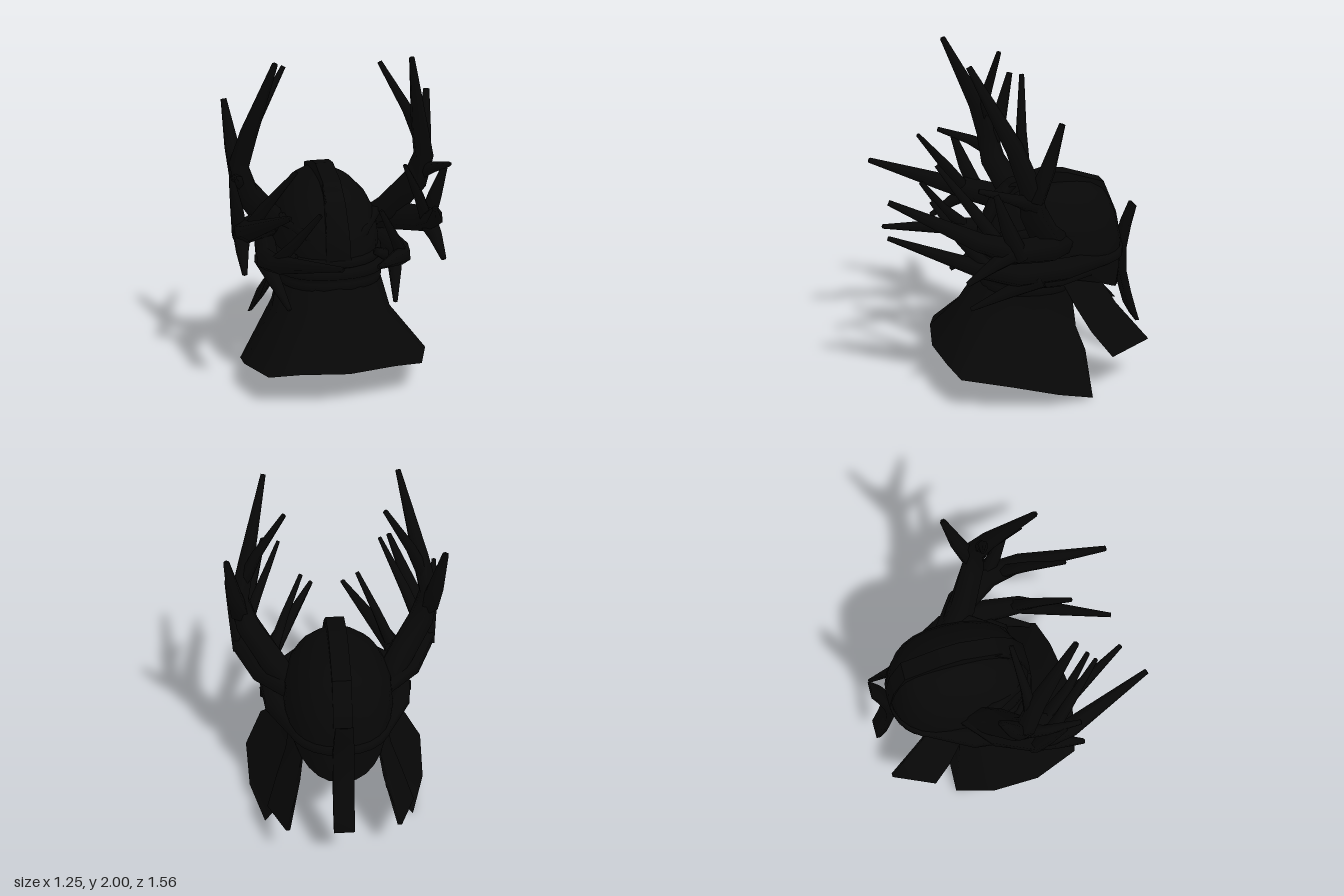
import * as THREE from 'three';

const black = new THREE.MeshStandardMaterial({ color: 0x070707, side: THREE.DoubleSide });
black.name = 'matteBlack';
const V = (x, y, z) => new THREE.Vector3(x, y, z);

// Skin a list of cross-sections, optionally closed around and capped at the ends
function loft(name, rings, closed = true, caps = true) {
  const n = rings[0].length, pos = [], idx = [];
  rings.forEach(r => r.forEach(p => pos.push(p.x, p.y, p.z)));
  for (let i = 0; i < rings.length - 1; i++) {
    for (let j = 0; j < (closed ? n : n - 1); j++) {
      const k = (j + 1) % n, a = i * n + j, b = i * n + k;
      idx.push(a, b, a + n, b, b + n, a + n);
    }
  }
  if (caps) {
    const top = (rings.length - 1) * n;
    for (let j = 1; j < n - 1; j++) idx.push(0, j + 1, j, top, top + j, top + j + 1);
  }
  const g = new THREE.BufferGeometry();
  g.setAttribute('position', new THREE.Float32BufferAttribute(pos, 3));
  g.setIndex(idx);
  g.computeVertexNormals();
  const mesh = new THREE.Mesh(g, black);
  mesh.name = name;
  return mesh;
}

// Tapered branch: each point is [x, y, z, radius]
function branch(name, s, pts) {
  const p = pts.map(q => V(q[0] * s, q[1], q[2]));
  const d = p[p.length - 1].clone().sub(p[0]);
  const m = [Math.abs(d.x), Math.abs(d.y), Math.abs(d.z)];
  const ref = V(0, 0, 0).setComponent(m.indexOf(Math.min(...m)), 1);
  const rings = p.map((c, i) => {
    const t = p[Math.min(i + 1, p.length - 1)].clone().sub(p[Math.max(i - 1, 0)]).normalize();
    const u = t.clone().cross(ref).normalize(), v = t.clone().cross(u);
    return Array.from({ length: 6 }, (_, j) => {
      const a = j * Math.PI / 3, r = pts[i][3];
      return c.clone().addScaledVector(u, r * Math.cos(a)).addScaledVector(v, r * Math.sin(a));
    });
  });
  return loft(name, rings);
}

// Rounded horizontal ring: height, front z, back z, half width, drop at the very back
function oval([y, zf, zb, w, drop = 0], n = 28) {
  const sq = v => Math.sign(v) * Math.abs(v) ** 0.85;
  return Array.from({ length: n }, (_, j) => {
    const a = j / n * Math.PI * 2, c = sq(Math.cos(a));
    return V(w * sq(Math.sin(a)), y - drop * ((1 - c) / 2) ** 4, (zf + zb) / 2 + c * (zf - zb) / 2);
  });
}

// Solid plate from a side profile of [z, y] points, centred on x
function sidePlate(name, pts, width) {
  const shape = new THREE.Shape(pts.map(p => new THREE.Vector2(-p[0], p[1])));
  const g = new THREE.ExtrudeGeometry(shape, { depth: width, bevelEnabled: false });
  g.translate(0, 0, -width / 2).rotateY(Math.PI / 2);
  const mesh = new THREE.Mesh(g, black);
  mesh.name = name;
  return mesh;
}

// Upright strip from rows of [y, centre z, half width, half thickness]
const uprightStrip = (name, rows) => loft(name, rows.map(([y, z, w, t]) =>
  [V(-w, y, z - t), V(-w, y, z + t), V(w, y, z + t), V(w, y, z - t)]));

export function createModel() {
  const model = new THREE.Group();
  model.name = 'antleredHelmet';

  // Domed shell, dipping to a point at the nape
  model.add(loft('helmetShell', [
    [0.7, 0.17, -0.635, 0.28, 0.17], [0.76, 0.19, -0.65, 0.305, 0.08], [0.86, 0.19, -0.65, 0.315],
    [0.98, 0.15, -0.62, 0.3], [1.08, 0.09, -0.585, 0.25], [1.15, 0.02, -0.54, 0.18],
    [1.19, -0.06, -0.48, 0.11], [1.21, -0.16, -0.4, 0.04],
  ].map(r => oval(r)), true, false));

  // Ridge running over the crown to the nape, and the nose guard it widens into
  model.add(sidePlate('crownRidge', [
    [0.19, 0.8], [0.18, 0.95], [0.11, 1.13], [0.01, 1.22], [-0.2, 1.275], [-0.32, 1.26], [-0.54, 1.19],
    [-0.62, 1.0], [-0.66, 0.8], [-0.64, 0.53], [-0.6, 0.6], [-0.6, 0.9], [-0.3, 1.15], [0.05, 1.05], [0.14, 0.8],
  ], 0.106));
  model.add(uprightStrip('noseGuard', [
    [0.76, 0.185, 0.075, 0.02], [0.95, 0.17, 0.067, 0.02], [1.12, 0.09, 0.058, 0.025], [1.2, 0.01, 0.053, 0.025],
  ]));

  // Wrapped collar over the lower face, and a strap round the nape
  model.add(loft('faceCollar', [
    [0.6, 0.17, -0.36, 0.285], [0.62, 0.2, -0.38, 0.31], [0.66, 0.2, -0.39, 0.315], [0.675, 0.18, -0.38, 0.3],
    [0.69, 0.21, -0.41, 0.33], [0.735, 0.21, -0.42, 0.335], [0.75, 0.18, -0.4, 0.3],
  ].map(r => oval(r)), true, false));
  model.add(loft('napeStrap', [
    [0.745, 0.18, -0.645, 0.3], [0.76, 0.21, -0.665, 0.33], [0.8, 0.21, -0.665, 0.33], [0.815, 0.18, -0.645, 0.3],
  ].map(r => oval(r)), true, false));

  // Curved tail strip behind the nape
  model.add(uprightStrip('tailStrip', [
    [0.28, -0.775, 0.06, 0.012], [0.36, -0.74, 0.06, 0.022], [0.48, -0.705, 0.06, 0.022], [0.62, -0.67, 0.06, 0.024],
    [0.76, -0.67, 0.06, 0.02], [0.9, -0.7, 0.055, 0.016], [1.02, -0.74, 0.05, 0.008],
  ]));

  // Flared neck cowl, open at the back: half-outlines from front centre round to the back edge
  const halves = [
    [[0, 0.225, 0.487], [0.28, 0.23, 0.45], [0.45, 0.208, 0.4], [0.55, 0.18, 0.13], [0.535, 0.09, -0.15],
      [0.45, 0.0, -0.38], [0.28, 0.23, -0.38]],
    [[0, 0.44, 0.33], [0.16, 0.44, 0.3], [0.28, 0.44, 0.21], [0.345, 0.44, 0.05], [0.34, 0.42, -0.12],
      [0.31, 0.4, -0.31], [0.25, 0.42, -0.31]],
    [[0, 0.66, 0.18], [0.13, 0.66, 0.16], [0.23, 0.66, 0.09], [0.3, 0.62, 0], [0.3, 0.62, -0.14],
      [0.26, 0.64, -0.29], [0.18, 0.66, -0.3]],
  ];
  model.add(loft('neckCowl', halves.map(h => [
    ...h.slice(1).reverse().map(p => V(-p[0], p[1], p[2])),
    ...h.map(p => V(...p)),
  ]), false, false));

  for (const s of [1, -1]) {
    const side = new THREE.Group();
    side.name = s > 0 ? 'leftAntler' : 'rightAntler';

    // Upper antler with its tines
    side.add(branch('upperBeam', s, [[0.25, 0.89, -0.24, 0.07], [0.37, 1.01, -0.1, 0.085], [0.5, 1.2, 0.0, 0.075],
      [0.54, 1.36, 0.03, 0.06], [0.49, 1.56, 0.1, 0.05], [0.375, 1.99, 0.32, 0.016]]));
    side.add(branch('innerTine', s, [[0.51, 1.46, 0.06, 0.04], [0.43, 1.64, 0.05, 0.03], [0.275, 1.91, 0.01, 0.014]]));
    side.add(branch('rearTine', s, [[0.54, 1.28, 0, 0.055], [0.565, 1.45, -0.06, 0.045], [0.595, 1.71, -0.13, 0.018]]));
    side.add(branch('sideTine', s, [[0.53, 1.25, 0.0, 0.05], [0.58, 1.31, 0.13, 0.03], [0.605, 1.38, 0.32, 0.014]]));

    // Middle antler sweeping forward
    side.add(branch('middleBeam', s, [[0.23, 0.9, -0.27, 0.06], [0.42, 0.95, -0.1, 0.085], [0.53, 0.99, 0.1, 0.075],
      [0.53, 1.06, 0.3, 0.055], [0.39, 1.28, 0.77, 0.016]]));
    side.add(branch('outerTine', s, [[0.55, 0.96, 0.08, 0.05], [0.575, 1.15, 0.16, 0.04], [0.61, 1.35, 0.23, 0.016]]));
    side.add(branch('frontTine', s, [[0.52, 1.02, 0.18, 0.04], [0.44, 1.19, 0.3, 0.032], [0.3, 1.44, 0.49, 0.012]]));
    side.add(branch('lowTine', s, [[0.54, 1.0, 0.1, 0.06], [0.56, 0.93, 0.24, 0.04], [0.57, 0.84, 0.38, 0.016]]));

    // Lower antler along the cheek
    side.add(branch('lowerBeam', s, [[0.23, 0.78, -0.5, 0.045], [0.36, 0.79, -0.22, 0.07], [0.39, 0.79, 0.05, 0.07],
      [0.36, 0.83, 0.25, 0.055], [0.1, 0.965, 0.74, 0.014]]));
    side.add(branch('crossTine', s, [[0.36, 0.84, 0.22, 0.04], [0.28, 0.99, 0.36, 0.028], [0.17, 1.19, 0.5, 0.014]]));
    side.add(branch('cheekTine', s, [[0.4, 0.76, -0.08, 0.055], [0.36, 0.68, 0.11, 0.04], [0.31, 0.575, 0.31, 0.014]]));

    // Slanted wraps across the temple and brow
    side.add(branch('browWrap', s, [[0.04, 0.84, 0.155, 0.03], [0.17, 0.94, 0.095, 0.035], [0.28, 0.99, -0.08, 0.035], [0.28, 0.96, -0.3, 0.02]]));
    side.add(branch('cheekWrap', s, [[0.26, 0.72, -0.4, 0.03], [0.34, 0.72, -0.2, 0.045], [0.36, 0.73, 0, 0.045], [0.24, 0.82, 0.13, 0.025]]));
    model.add(side);

    // Scarf end trailing from under the helmet
    const inset = 0.012;
    const flap = [[[0.27, 0.66, -0.24], [0.2, 0.76, -0.42]], [[0.3, 0.52, -0.31], [0.22, 0.66, -0.47]],
      [[0.36, 0.38, -0.39], [0.25, 0.5, -0.57]], [[0.42, 0.24, -0.5], [0.32, 0.285, -0.75]]];
    model.add(loft('scarfEnd', flap.map(([a, b]) => [
      V(s * (a[0] - inset), a[1], a[2]), V(s * (a[0] + inset), a[1], a[2]),
      V(s * (b[0] + inset), b[1], b[2]), V(s * (b[0] - inset), b[1], b[2]),
    ])));
  }
  return model;
}
